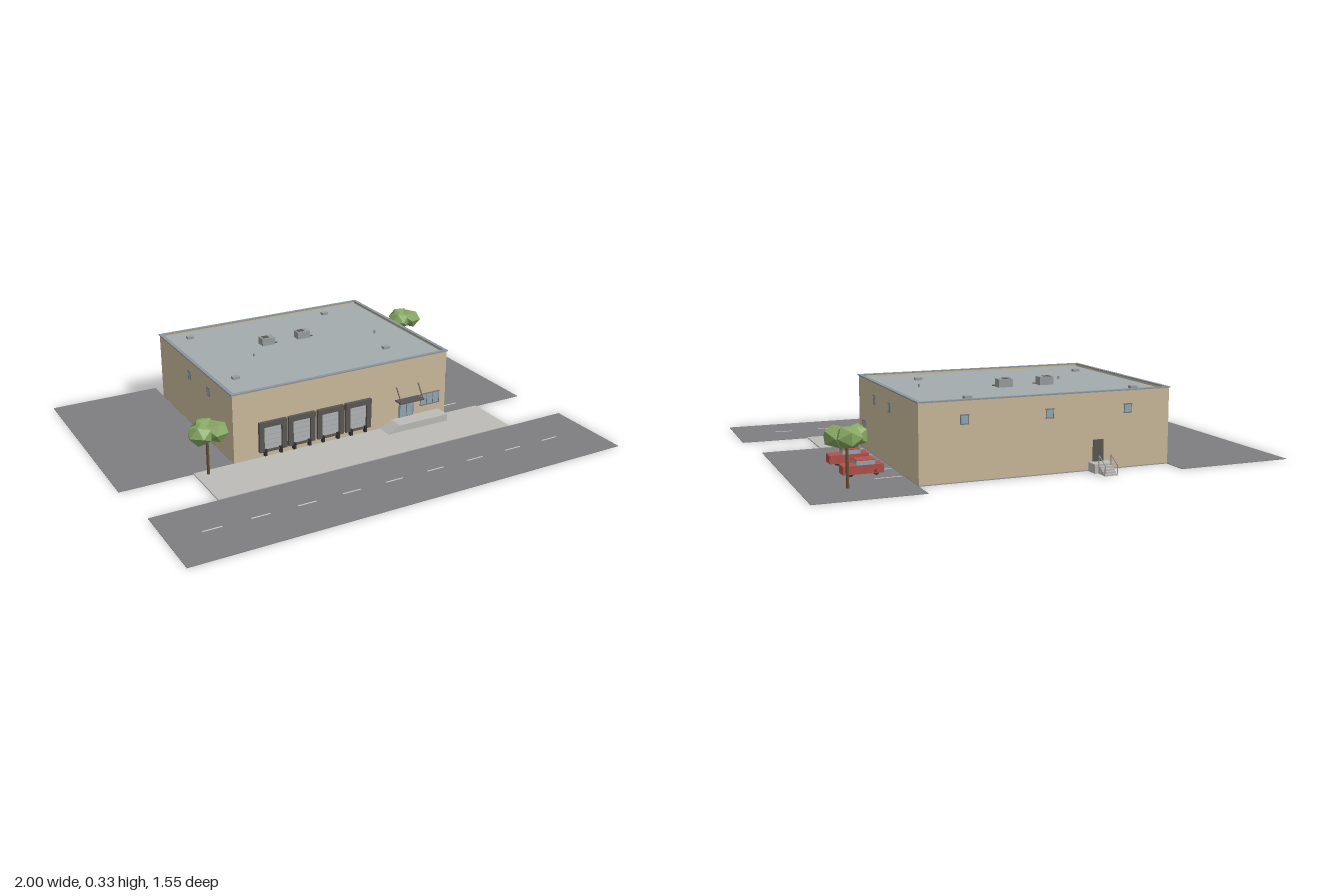
import * as THREE from 'three';

const mat = (color, extra = {}) => {
  const m = new THREE.MeshStandardMaterial({ color, side: THREE.DoubleSide });
  return Object.assign(m, extra);
};
const M = {
  wall: mat(0xcbbb9c), roof: mat(0xa4abad), coping: mat(0x8c969c), asphalt: mat(0x7e7e80),
  concrete: mat(0xbcbbb7), slab: mat(0x9a9996), line: mat(0xc4c4c0), dark: mat(0x5a5855),
  door: mat(0xb4b6b8), glass: mat(0x93a9b5), frame: mat(0x74797c), car: mat(0xb4514b),
  bark: mat(0x6b5138), leaf: mat(0x86a862, { flatShading: true }), steel: mat(0x9b9e9f),
  tyre: mat(0x303030),
};

// Box given by its min and max corners
function block(parent, name, m, x0, x1, y0, y1, z0, z1) {
  const mesh = new THREE.Mesh(new THREE.BoxGeometry(x1 - x0, y1 - y0, z1 - z0), m);
  mesh.position.set((x0 + x1) / 2, (y0 + y1) / 2, (z0 + z1) / 2);
  mesh.name = name;
  parent.add(mesh);
  return mesh;
}

// Thin round bar between two points
function bar(parent, name, m, a, b, r) {
  const p = new THREE.Vector3(...a), q = new THREE.Vector3(...b);
  const d = q.clone().sub(p);
  const mesh = new THREE.Mesh(new THREE.CylinderGeometry(r, r, d.length(), 6), m);
  mesh.position.copy(p).add(q).multiplyScalar(0.5);
  mesh.quaternion.setFromUnitVectors(new THREE.Vector3(0, 1, 0), d.normalize());
  mesh.name = name;
  parent.add(mesh);
}

function group(parent, name, x = 0, y = 0, z = 0, turn = 0) {
  const g = new THREE.Group();
  g.name = name;
  g.position.set(x, y, z);
  g.rotation.y = turn;
  parent.add(g);
  return g;
}

// Framed window on a wall, facing local +z, with optional mullions
function windowUnit(parent, x, y, z, turn, w, h, panes = 1) {
  const g = group(parent, 'window', x, y, z, turn);
  block(g, 'windowGlass', M.glass, -w / 2, w / 2, -h / 2, h / 2, -0.002, 0.002);
  for (let i = 0; i <= panes; i++) {
    const px = -w / 2 + (i * w) / panes;
    block(g, 'windowMullion', M.frame, px - 0.0015, px + 0.0015, -h / 2, h / 2, -0.002, 0.003);
  }
  for (const s of [-1, 1])
    block(g, 'windowRail', M.frame, -w / 2 - 0.003, w / 2 + 0.003, s * h / 2 - 0.002, s * h / 2 + 0.002, -0.002, 0.004);
}

function dock(parent, x) {
  const g = group(parent, 'loadingDock', x, 0, 0.142);
  block(g, 'dockDoor', M.door, -0.042, 0.042, 0.035, 0.145, 0, 0.004);
  for (let i = 1; i < 5; i++)
    block(g, 'doorSeam', M.steel, -0.042, 0.042, 0.035 + i * 0.022, 0.0365 + i * 0.022, 0, 0.005);
  block(g, 'dockHeader', M.dark, -0.063, 0.063, 0.142, 0.165, 0, 0.016);
  block(g, 'dockSill', M.dark, -0.042, 0.042, 0.027, 0.037, 0, 0.01);
  for (const s of [-1, 1]) {
    block(g, 'dockSide', M.dark, s * 0.052 - 0.011, s * 0.052 + 0.011, 0.03, 0.142, 0, 0.014);
    block(g, 'dockBumper', M.tyre, s * 0.036 - 0.006, s * 0.036 + 0.006, 0.012, 0.04, 0, 0.016);
  }
}

function car(parent, z) {
  const g = group(parent, 'car', 0.68, 0, z);
  block(g, 'carBody', M.car, -0.08, 0.08, 0.01, 0.044, -0.032, 0.032);
  block(g, 'carCabin', M.glass, -0.045, 0.027, 0.044, 0.061, -0.03, 0.03);
  block(g, 'carRoof', M.car, -0.045, 0.027, 0.061, 0.064, -0.03, 0.03);
  for (const x of [-0.05, 0.05]) for (const s of [-1, 1]) {
    const wheel = new THREE.Mesh(new THREE.CylinderGeometry(0.011, 0.011, 0.008, 10), M.tyre);
    wheel.rotation.x = Math.PI / 2;
    wheel.position.set(x, 0.013, s * 0.028);
    wheel.name = 'wheel';
    g.add(wheel);
  }
}

function tree(parent, x, z) {
  const g = group(parent, 'tree', x, 0, z);
  bar(g, 'trunk', M.bark, [0, 0, 0], [0, 0.18, 0], 0.006);
  const crown = [[0, 0.195, -0.032], [-0.034, 0.193, 0.014], [0.034, 0.193, 0.012]];
  crown.forEach(([cx, cy, cz], i) => {
    const leaf = new THREE.Mesh(new THREE.IcosahedronGeometry(0.055, 0), M.leaf);
    leaf.scale.y = 0.84;
    leaf.rotation.y = i * 0.9;
    leaf.position.set(cx, cy, cz);
    leaf.name = 'foliage';
    g.add(leaf);
  });
}

export function createModel() {
  const model = new THREE.Group();
  model.name = 'warehouse';

  // Paved ground, road dashes and parking stripes
  const ground = group(model, 'ground');
  block(ground, 'leftYard', M.asphalt, -1, -0.505, 0, 0.002, -0.775, 0.142);
  block(ground, 'carPark', M.asphalt, 0.538, 0.96, 0, 0.002, -0.775, 0.142);
  block(ground, 'road', M.asphalt, -0.97, 1, 0, 0.002, 0.39, 0.775);
  block(ground, 'apron', M.concrete, -0.685, 0.715, 0, 0.005, 0.142, 0.39);
  for (let i = 0; i < 9; i++) {
    const x = -0.79 + i * 0.197;
    block(ground, 'roadDash', M.line, x - 0.04, x + 0.04, 0.001, 0.003, 0.575, 0.581);
  }
  for (let i = 0; i < 5; i++) {
    const z = -0.49 + i * 0.14;
    block(ground, 'parkingStripe', M.line, 0.545, 0.655, 0.001, 0.003, z - 0.003, z + 0.003);
  }

  // Building shell with parapet
  const hall = group(model, 'building');
  const [X0, X1, Z0, Z1] = [-0.505, 0.538, -0.665, 0.142];
  block(hall, 'floorSlab', M.slab, X0, X1, 0, 0.004, Z0, Z1);
  block(hall, 'walls', M.wall, X0, X1, 0.004, 0.296, Z0, Z1);
  block(hall, 'roofDeck', M.roof, X0 + 0.01, X1 - 0.01, 0.296, 0.299, Z0 + 0.01, Z1 - 0.01);
  const rim = (name, m, y0, y1, o, t) => {
    for (const [a, b] of [[Z0 - o, Z0 + t], [Z1 - t, Z1 + o]]) block(hall, name, m, X0 - o, X1 + o, y0, y1, a, b);
    for (const [a, b] of [[X0 - o, X0 + t], [X1 - t, X1 + o]]) block(hall, name, m, a, b, y0, y1, Z0 + t, Z1 - t);
  };
  rim('parapet', M.wall, 0.296, 0.307, 0, 0.01);
  rim('coping', M.coping, 0.307, 0.312, 0.004, 0.012);

  // Roof equipment
  const roof = group(model, 'roofEquipment');
  for (const x of [-0.11, 0.07]) {
    block(roof, 'airUnit', M.steel, x - 0.032, x + 0.03, 0.299, 0.332, -0.368, -0.325);
    block(roof, 'fanGrille', M.dark, x - 0.024, x + 0.006, 0.33, 0.3335, -0.36, -0.333);
    bar(roof, 'unitPipe', M.dark, [x + 0.03, 0.304, -0.332], [x + 0.045, 0.304, -0.332], 0.003);
  }
  for (const [x, z] of [[-0.39, -0.58], [0.315, -0.58], [-0.408, -0.037], [0.33, -0.037]])
    block(roof, 'roofHatch', M.steel, x - 0.015, x + 0.015, 0.299, 0.31, z - 0.012, z + 0.012);
  for (const x of [-0.23, 0.39])
    bar(roof, 'ventPipe', M.steel, [x, 0.298, -0.23], [x, 0.312, -0.23], 0.004);

  // Loading docks
  for (const x of [-0.33, -0.195, -0.057, 0.08]) dock(model, x);

  // Entrance: ramped platform, door, hung canopy
  const entry = group(model, 'entrance');
  const side = new THREE.Shape([[0.195, 0.004], [0.505, 0.004], [0.505, 0.036], [0.255, 0.036]]
    .map(([x, y]) => new THREE.Vector2(x, y)));
  const ramp = new THREE.Mesh(new THREE.ExtrudeGeometry(side, { depth: 0.073, bevelEnabled: false }), M.concrete);
  ramp.position.z = Z1;
  ramp.name = 'rampPlatform';
  entry.add(ramp);
  block(entry, 'doorFrame', M.frame, 0.293, 0.369, 0.036, 0.12, Z1, Z1 + 0.003);
  for (const x of [0.298, 0.333])
    block(entry, 'glassDoor', M.glass, x, x + 0.031, 0.038, 0.116, Z1, Z1 + 0.005);
  block(entry, 'canopy', M.dark, 0.273, 0.396, 0.12, 0.125, Z1, 0.19);
  for (const x of [0.278, 0.391])
    bar(entry, 'canopyRod', M.dark, [x, 0.185, Z1], [x, 0.124, 0.187], 0.0025);
  windowUnit(entry, 0.455, 0.098, Z1, 0, 0.098, 0.054, 3);

  // Side and rear windows
  const q = Math.PI / 2;
  for (const z of [-0.1, -0.31]) {
    windowUnit(hall, X1, 0.237, z, q, 0.025, 0.034);
    windowUnit(hall, X0, 0.237, z, -q, 0.025, 0.034);
  }
  windowUnit(hall, X1, 0.096, 0.061, q, 0.04, 0.058);
  for (const x of [0.36, 0.015, -0.32]) windowUnit(hall, x, 0.237, Z0, 2 * q, 0.03, 0.034);

  // Rear door with landing, steps and handrails
  const rear = group(model, 'rearExit');
  block(rear, 'rearDoor', M.dark, -0.215, -0.17, 0.036, 0.122, Z0 - 0.004, Z0);
  block(rear, 'landing', M.concrete, -0.235, -0.152, 0, 0.036, -0.72, Z0);
  for (let i = 0; i < 4; i++)
    block(rear, 'step', M.concrete, -0.222, -0.168, 0, 0.029 - i * 0.0075, -0.733 - i * 0.0135, -0.72 - i * 0.0135);
  for (const x of [-0.221, -0.169]) {
    bar(rear, 'railPost', M.steel, [x, 0.03, -0.721], [x, 0.07, -0.721], 0.002);
    bar(rear, 'railPost', M.steel, [x, 0.003, -0.771], [x, 0.04, -0.771], 0.002);
    bar(rear, 'handrail', M.steel, [x, 0.07, -0.721], [x, 0.04, -0.771], 0.002);
  }

  // Cars and trees
  for (const z of [-0.4, -0.19]) car(model, z);
  tree(model, -0.633, 0.175);
  tree(model, 0.785, -0.597);

  return model;
}
